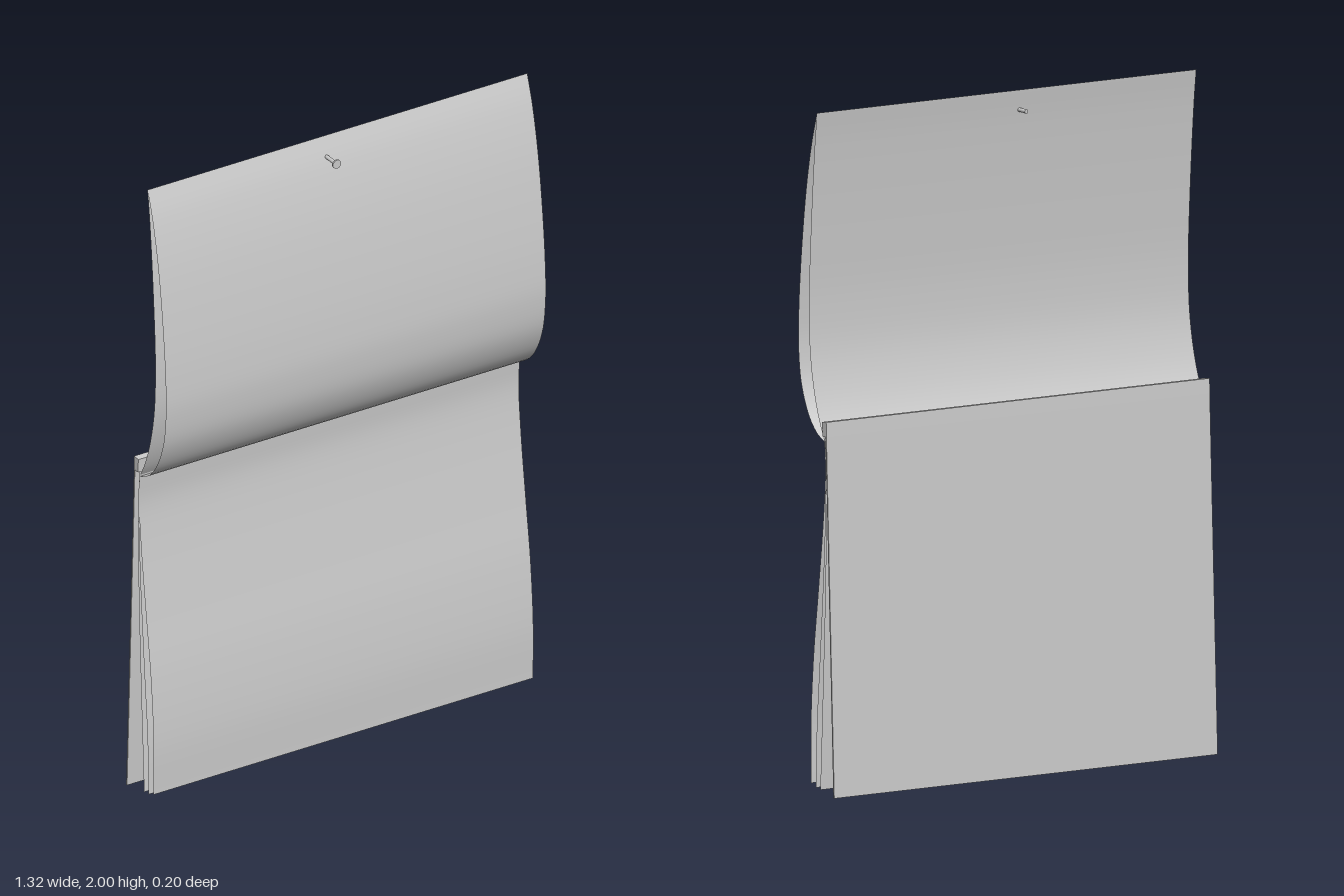
import * as THREE from 'three';

const solid = new THREE.MeshStandardMaterial({ color: 0xcccccc });
const paper = new THREE.MeshStandardMaterial({ color: 0xcccccc, side: THREE.DoubleSide });

const SHEET_WIDTH = 1.31;
const BOARD_WIDTH = 1.324;

// Thin sheet swept along x, following a side profile of [z, y] points from top to bottom
function sheet(name, profile) {
  const curve = new THREE.CatmullRomCurve3(profile.map(([z, y]) => new THREE.Vector3(0, y, z)), false, 'centripetal');
  const steps = 48;
  const points = curve.getSpacedPoints(steps);
  const geometry = new THREE.PlaneGeometry(SHEET_WIDTH, 1, 1, steps);
  const pos = geometry.attributes.position;
  for (let i = 0; i < pos.count; i++) {
    const p = points[Math.floor(i / 2)];
    pos.setXYZ(i, pos.getX(i), p.y, p.z);
  }
  geometry.computeVertexNormals();
  const mesh = new THREE.Mesh(geometry, paper);
  mesh.name = name;
  return mesh;
}

// Solid bar across x with a [z, y] outline
function bar(name, outline, width) {
  // Extrusion runs along +z; turning it by -90 degrees about y maps shape x to +z and depth to -x
  const shape = new THREE.Shape(outline.map(([z, y]) => new THREE.Vector2(z, y)));
  const geometry = new THREE.ExtrudeGeometry(shape, { depth: width, bevelEnabled: false });
  geometry.translate(0, 0, -width / 2).rotateY(-Math.PI / 2);
  const mesh = new THREE.Mesh(geometry, solid);
  mesh.name = name;
  return mesh;
}

function pinPart(name, radius, z0, z1) {
  const geometry = new THREE.CylinderGeometry(radius, radius, z1 - z0, 20);
  geometry.rotateX(Math.PI / 2);
  const mesh = new THREE.Mesh(geometry, solid);
  mesh.position.set(-0.049, 1.94, (z0 + z1) / 2);
  mesh.name = name;
  return mesh;
}

export function createModel() {
  const model = new THREE.Group();
  model.name = 'wallCalendar';

  // Leaning backing board and the binding strip at its top
  model.add(bar('backBoard', [[-0.103, 0], [-0.098, 0], [-0.056, 1.06], [-0.061, 1.06]], BOARD_WIDTH));
  model.add(bar('bindingStrip', [[-0.062, 1.057], [-0.04, 1.055], [-0.038, 1.098], [-0.06, 1.1]], BOARD_WIDTH));

  // Raised sheets, meeting at the top edge and at the binding
  model.add(sheet('upperFrontSheet', [
    [0, 2], [0.025, 1.92], [0.055, 1.78], [0.08, 1.6], [0.096, 1.42], [0.098, 1.3],
    [0.082, 1.19], [0.04, 1.1], [-0.005, 1.055], [-0.04, 1.04],
  ]));
  model.add(sheet('upperBackSheet', [
    [0, 2], [0.012, 1.9], [0.032, 1.65], [0.042, 1.43], [0.035, 1.28], [0.01, 1.16], [-0.02, 1.08], [-0.04, 1.045],
  ]));

  // Hanging sheets, fanning forward from the binding
  model.add(sheet('lowerFrontSheet', [
    [-0.04, 1.045], [-0.045, 0.95], [-0.033, 0.8], [-0.008, 0.6], [0.018, 0.4], [0.032, 0.2], [0.031, 0.025],
  ]));
  model.add(sheet('lowerMiddleSheet', [
    [-0.042, 1.05], [-0.047, 0.92], [-0.038, 0.7], [-0.016, 0.4], [0, 0.2], [0.006, 0.015],
  ]));
  model.add(sheet('lowerBackSheet', [
    [-0.044, 1.055], [-0.05, 0.9], [-0.046, 0.65], [-0.034, 0.35], [-0.018, 0.012],
  ]));

  // Hanging pin
  const pin = new THREE.Group();
  pin.name = 'hangingPin';
  pin.add(pinPart('pinShaft', 0.006, -0.03, 0.07));
  pin.add(pinPart('pinHead', 0.014, 0.069, 0.074));
  model.add(pin);

  return model;
}
